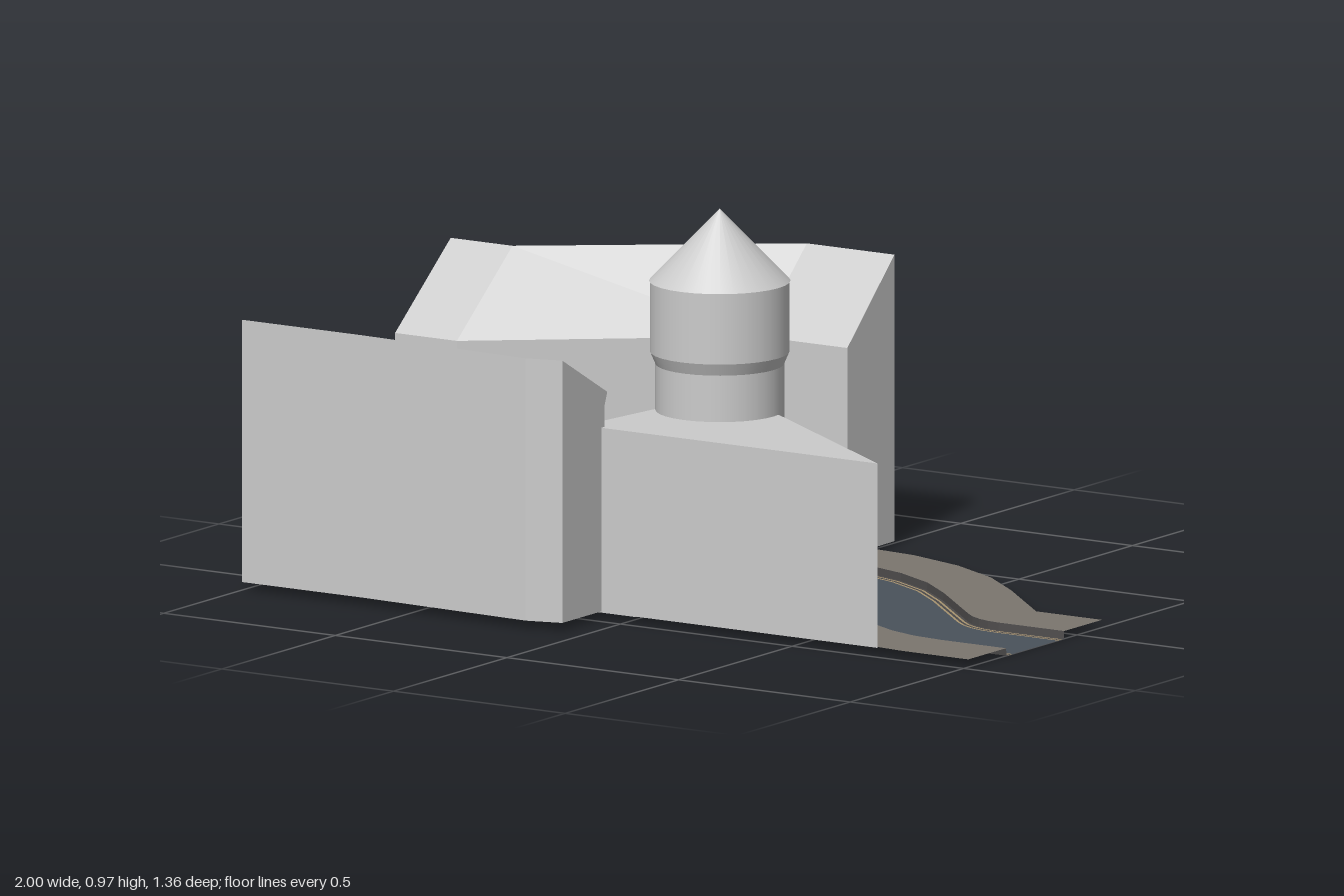
import * as THREE from 'three';

const grey = new THREE.MeshStandardMaterial({ color: 0xcccccc });
const tint = (color) => new THREE.MeshStandardMaterial({ color, side: THREE.DoubleSide });

// Joins equal cross-sections into a faceted skin; closed ones get fan end caps.
function loft(sections, closed) {
  const out = [];
  const n = sections[0].length;
  const tri = (...pts) => pts.forEach((p) => out.push(...p));
  for (let s = 0; s < sections.length - 1; s++) {
    const a = sections[s], b = sections[s + 1];
    for (let i = 0; i < (closed ? n : n - 1); i++) {
      const j = (i + 1) % n;
      tri(a[i], b[i], a[j]);
      tri(b[i], b[j], a[j]);
    }
  }
  if (closed) {
    const first = sections[0], last = sections[sections.length - 1];
    for (let i = 1; i < n - 1; i++) {
      tri(first[0], first[i], first[i + 1]);
      tri(last[0], last[i + 1], last[i]);
    }
  }
  const geo = new THREE.BufferGeometry();
  geo.setAttribute('position', new THREE.Float32BufferAttribute(out, 3));
  geo.computeVertexNormals();
  return geo;
}

// Vertical prism from a plan of [x, z] corners.
function prism(plan, bottom, top) {
  const shape = new THREE.Shape(plan.map(([x, z]) => new THREE.Vector2(x, z)));
  const geo = new THREE.ExtrudeGeometry(shape, { depth: top - bottom, bevelEnabled: false });
  return geo.rotateX(Math.PI / 2).translate(0, top, 0);
}

// Centre line of the street: flat ends, two bends each side of the crest.
function streetPath() {
  const cx = 0.01, crestR = 0.557, footR = 0.3, crestZ = -0.25, endZ = 0.185, footX = 0.8;
  const half = [];
  for (let i = 0; i <= 4; i++) {
    const a = (i / 4) * Math.PI / 4;
    half.push({ x: crestR * Math.sin(a), z: crestZ + crestR * (1 - Math.cos(a)), a });
  }
  for (let i = 4; i >= 0; i--) {
    const a = (i / 4) * Math.PI / 4;
    half.push({ x: footX - footR * Math.sin(a), z: endZ - footR * (1 - Math.cos(a)), a });
  }
  half.push({ x: 0.99, z: endZ, a: 0 });
  const left = half.slice(1).reverse().map((p) => ({ x: -p.x, z: p.z, a: -p.a }));
  return [...left, ...half].map((p) => ({ ...p, x: p.x + cx }));
}

export function createModel() {
  const model = new THREE.Group();
  const add = (name, geo, mat = grey, parent = model) => {
    const mesh = new THREE.Mesh(geo, mat);
    mesh.name = name;
    parent.add(mesh);
    return mesh;
  };

  // Street: strips swept along the centre line, given as [offset, y] pairs
  const street = new THREE.Group();
  street.name = 'street';
  model.add(street);
  const path = streetPath();
  const strip = (name, profile, mat) => {
    const sections = path.map(({ x, z, a }) =>
      profile.map(([o, y]) => [x - o * Math.sin(a), y, z + o * Math.cos(a)]));
    add(name, loft(sections, false), mat, street);
  };
  const paving = tint(0x7b766f), asphalt = tint(0x4a525b), kerb = tint(0x4c4a4a), line = tint(0xa89470);
  strip('roadway', [[0.1, 0], [-0.1, 0]], asphalt);
  for (const s of [1, -1]) {
    const side = (name, profile, mat) => {
      const p = profile.map(([o, y]) => [o * s, y]);
      strip(name, s > 0 ? p : p.reverse(), mat);
    };
    side('pavement', [[0.295, 0.019], [0.128, 0.019]], paving);
    side('kerb', [[0.128, 0.019], [0.126, 0], [0.119, 0]], kerb);
    side('outerLine', [[0.119, 0], [0.113, 0]], line);
    side('gutter', [[0.113, 0], [0.106, 0]], kerb);
    side('innerLine', [[0.106, 0], [0.1, 0]], line);
  }

  // Back house: bent plan, roof rising to the back, recessed ground floor
  const backPlan = [ // x front, z front, x back, z back
    [-1, -0.02, -1, -0.265], [-0.82, -0.02, -0.82, -0.265],
    [-0.24, -0.47, -0.24, -0.685], [0.02, -0.47, 0.015, -0.685],
  ];
  add('backHouse', loft(backPlan.map(([xf, zf, xb, zb]) => [
    [xb, 0.01, zb], [xf, 0.01, zf - 0.02], [xf, 0.23, zf - 0.02],
    [xf, 0.25, zf], [xf, 0.525, zf], [xb, 0.72, zb],
  ]), true));

  // Front house: roof rising to the front wall, small eave over the street
  const frontPlan = [[-0.07, 0.65], [-0.16, 0.675], [-0.65, 0.655], [-1, 0.655]];
  add('frontHouse', loft(frontPlan.map(([x, z]) => [
    [x, 0.02, z], [x, 0.02, 0.465], [x, 0.54, 0.465], [x, 0.56, 0.452], [x, 0.67, z],
  ]), true));

  // Corner house with flat roof, and the low yard beside it
  add('cornerHouse', prism([
    [0.735, 0.478], [-0.125, 0.478], [-0.09, 0.21], [-0.04, 0.1], [0.1, 0.02], [0.2, 0.105],
  ], 0.018, 0.475));
  add('yard', prism([
    [-0.16, 0.03], [0.03, 0.03], [0.03, 0.478], [-0.63, 0.478], [-0.63, 0.45],
  ], 0.017, 0.022));

  // Round tower with wider upper storey and pointed roof
  const tower = new THREE.Group();
  tower.name = 'tower';
  tower.position.set(0.045, 0, 0.13);
  model.add(tower);
  const drum = (name, rTop, rBottom, y0, y1, open) =>
    add(name, new THREE.CylinderGeometry(rTop, rBottom, y1 - y0, 32, 1, open)
      .translate(0, (y0 + y1) / 2, 0), grey, tower);
  drum('towerShaft', 0.157, 0.157, 0.018, 0.59, false);
  drum('towerFlare', 0.17, 0.157, 0.59, 0.62, true);
  drum('towerUpperStorey', 0.17, 0.17, 0.62, 0.795, true);
  drum('towerRoof', 0, 0.172, 0.795, 0.973, false);

  return model;
}
